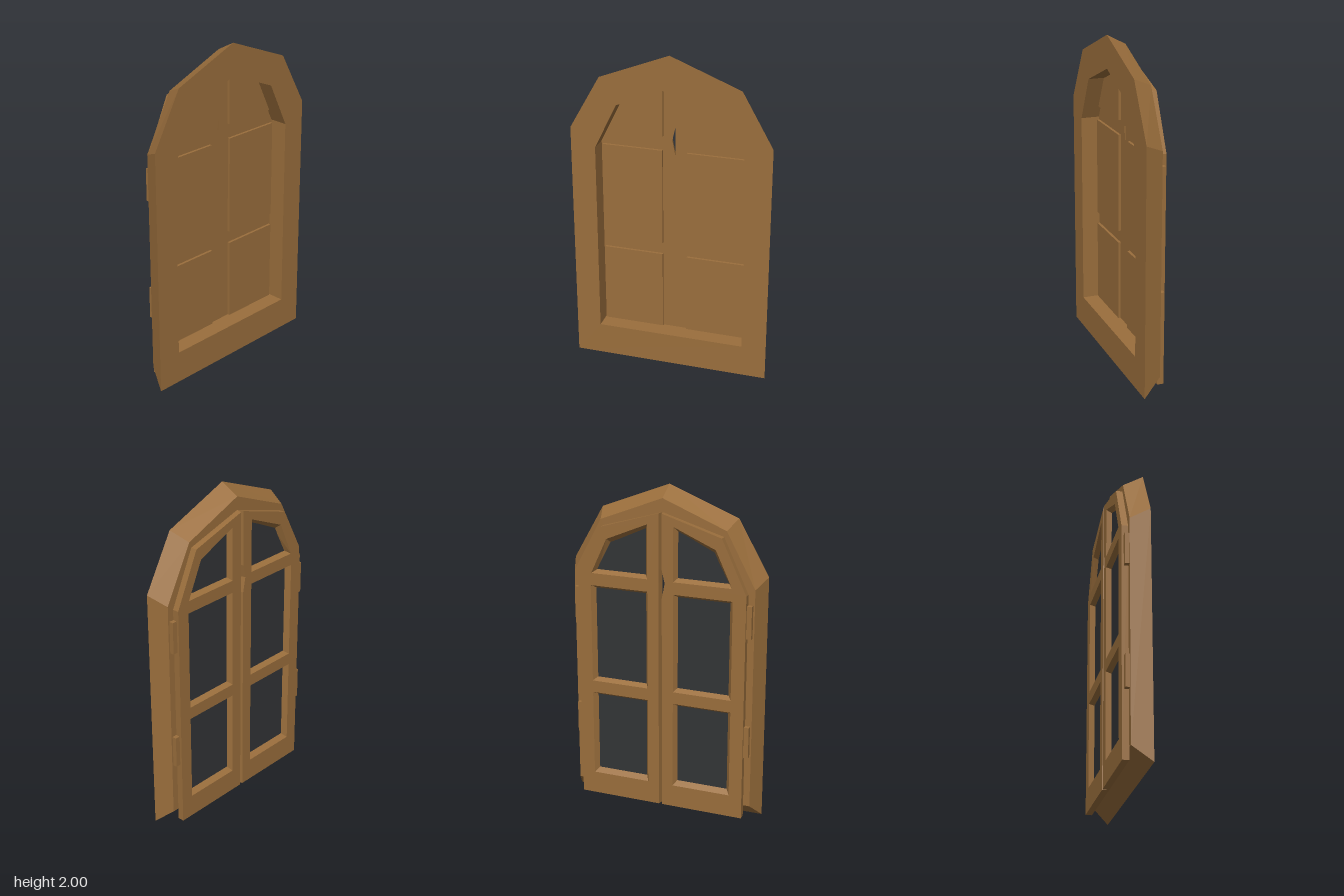
import * as THREE from 'three';

const WOOD = 0x9a6e3c, GLASS = 0x323436;
const material = (color) => {
  const m = new THREE.MeshStandardMaterial({ flatShading: true });
  m.color.set(color);
  return m;
};
const wood = material(WOOD), glass = material(GLASS);

const toPoints = (list) => list.map(([x, y]) => new THREE.Vector2(x, y));
// mirror an outline across x = 0, keeping it counter-clockwise
const mirror = (list) => list.map(([x, y]) => [-x, y]).reverse();
const rect = (x0, y0, x1, y1) => [[x0, y0], [x1, y0], [x1, y1], [x0, y1]];

// solid whose front and back outlines (and holes) differ, giving sloped sides
function bevelSlab(name, front, back, zFront, zBack, frontHoles = [], backHoles = []) {
  const pos = [];
  const cap = (outline, holes, z, flip) => {
    const all = [outline, ...holes].flat();
    const faces = THREE.ShapeUtils.triangulateShape(
      toPoints(outline), holes.map((h) => toPoints([...h].reverse())));
    const verts = [outline, ...holes.map((h) => [...h].reverse())].flat();
    for (const f of faces) {
      for (const i of flip ? [f[0], f[2], f[1]] : f) pos.push(verts[i][0], verts[i][1], z);
    }
    return all;
  };
  const wall = (a, b, inward) => a.forEach((p, i) => {
    const j = (i + 1) % a.length;
    const f0 = [...p, zFront], f1 = [...a[j], zFront];
    const b0 = [...b[i], zBack], b1 = [...b[j], zBack];
    const quad = inward ? [f0, f1, b1, f0, b1, b0] : [f0, b1, f1, f0, b0, b1];
    pos.push(...quad.flat());
  });
  cap(front, frontHoles, zFront, false);
  cap(back, backHoles, zBack, true);
  wall(front, back, false);
  frontHoles.forEach((h, i) => wall(h, backHoles[i], true));
  const geo = new THREE.BufferGeometry();
  geo.setAttribute('position', new THREE.Float32BufferAttribute(pos, 3));
  geo.computeVertexNormals();
  const mesh = new THREE.Mesh(geo, wood);
  mesh.name = name;
  return mesh;
}

// straight-sided plate between two depths
function plate(name, outline, zBack, zFront, mat) {
  const geo = new THREE.ExtrudeGeometry(new THREE.Shape(toPoints(outline)),
    { depth: zFront - zBack, bevelEnabled: false });
  geo.translate(0, 0, zBack);
  const mesh = new THREE.Mesh(geo, mat);
  mesh.name = name;
  return mesh;
}

// five-sided arch, symmetrical about x = 0
const arch = (halfWidth, bottom, spring, shoulderX, shoulderY, top) => [
  [-halfWidth, bottom], [halfWidth, bottom], [halfWidth, spring],
  [shoulderX, shoulderY], [0, top], [-shoulderX, shoulderY], [-halfWidth, spring]];

export function createModel() {
  const model = new THREE.Group();
  model.name = 'archedWindow';

  // surround, narrowing towards the back
  const opening = arch(0.455, 0.2, 1.4, 0.32, 1.675, 1.805);
  model.add(bevelSlab('surround',
    arch(0.605, 0, 1.51, 0.42, 1.835, 2), arch(0.56, 0.1, 1.46, 0.385, 1.785, 1.94),
    0.075, -0.038, [opening], [opening]));

  // outlines of one leaf on the +x side
  const leaf = (inner, notch) => [
    [inner, 0.03], [0.52, 0.03], [0.52, 1.43], [0.37, 1.75], [inner, 1.86],
    [inner, 1.53], [inner + notch, 1.45], [inner, 1.36]];
  const panels = [
    rect(0.075, 0.202, 0.445, 0.705),
    rect(0.075, 0.78, 0.445, 1.385),
    [[0.072, 1.475], [0.416, 1.475], [0.319, 1.673], [0.072, 1.774]]];
  const recesses = [
    rect(0.08, 0.17, 0.44, 0.71),
    rect(0.08, 0.785, 0.44, 1.39),
    [[0.08, 1.465], [0.435, 1.465], [0.335, 1.68], [0.08, 1.79]]];
  const panes = [
    rect(0.105, 0.204, 0.41, 0.685),
    rect(0.105, 0.81, 0.41, 1.365),
    [[0.105, 1.49], [0.4, 1.49], [0.315, 1.65], [0.105, 1.75]]];

  for (const side of [1, -1]) {
    const m = side > 0 ? (o) => o : mirror;
    const group = new THREE.Group();
    group.name = side > 0 ? 'leftLeaf' : 'rightLeaf';

    // leaf frame with a grooved meeting edge; one leaf has a chipped notch
    const notch = side > 0 ? 0.001 : 0.018;
    group.add(bevelSlab('leafFrame', m(leaf(0, notch)), m(leaf(0.01, notch)),
      -0.038, -0.077, panes.map(m), recesses.map(m)));

    // raised wooden panels in front, dark panes behind
    panels.forEach((p) => group.add(plate('panel', m(p), -0.041, -0.022, wood)));
    recesses.forEach((r) => group.add(plate('pane', m(r), -0.047, -0.0415, glass)));

    // hinges
    for (const y of [0.525, 1.27]) {
      const hinge = new THREE.Mesh(new THREE.BoxGeometry(0.035, 0.195, 0.026), wood);
      hinge.position.set(side * 0.533, y, -0.051);
      hinge.name = 'hinge';
      group.add(hinge);
    }
    model.add(group);
  }
  return model;
}
